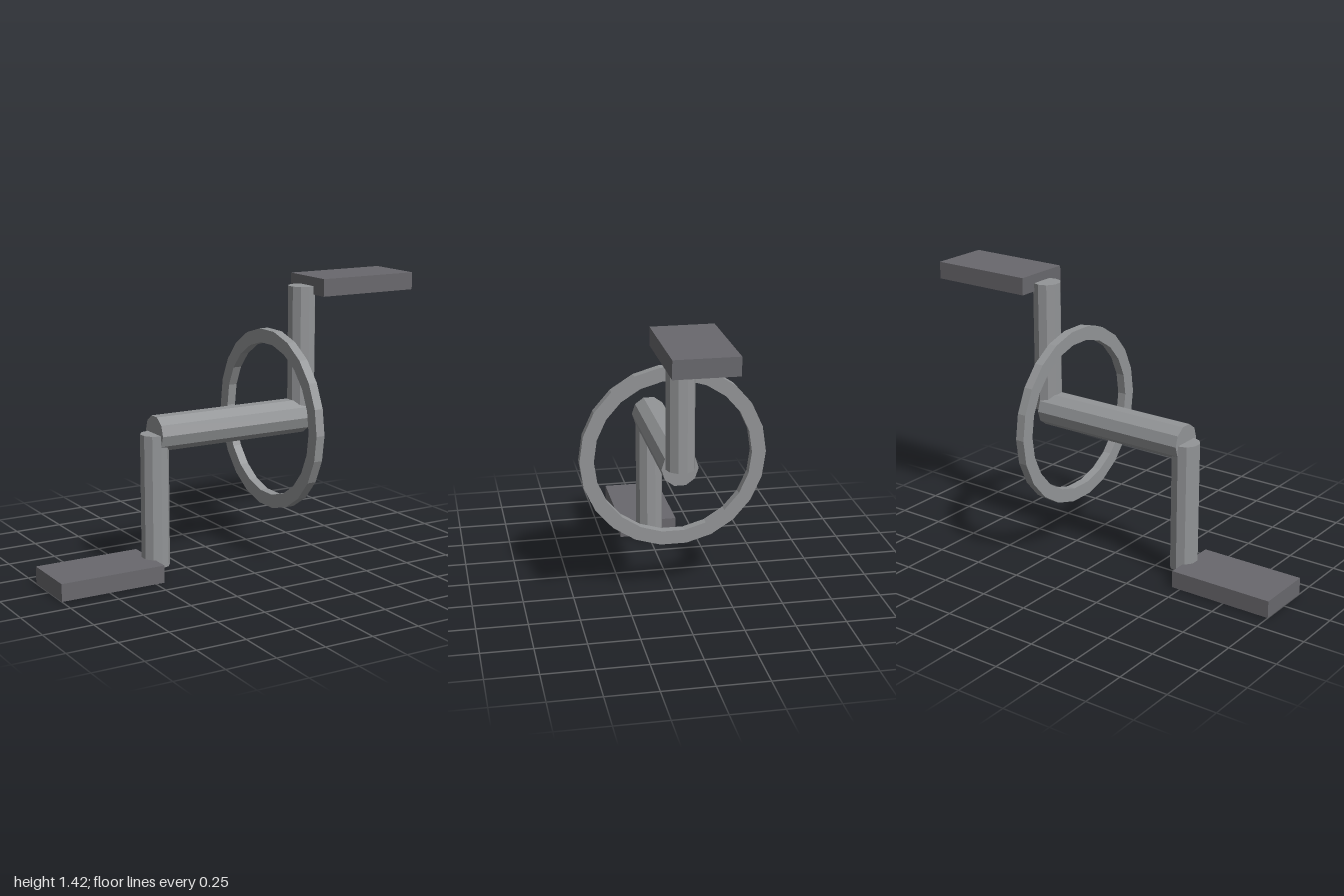
import * as THREE from 'three';

const AXLE_Y = 0.7125; // height of the axle centre
const ARM = 0.667;     // crank arm length
const ARM_X = 0.423;   // crank arm offset from the middle

export function createModel() {
  const model = new THREE.Group();
  model.name = 'pedalCrank';

  const metal = new THREE.MeshStandardMaterial({ color: 0x939597, flatShading: true });
  metal.name = 'grey metal';
  const rubber = new THREE.MeshStandardMaterial({ color: 0x69686d, flatShading: true });
  rubber.name = 'dark grey rubber';

  const add = (name, geometry, material, x, y) => {
    const mesh = new THREE.Mesh(geometry, material);
    mesh.name = name;
    mesh.position.set(x, y, 0);
    model.add(mesh);
    return mesh;
  };

  // Ten-sided axle lying along x
  const axle = add('axle', new THREE.CylinderGeometry(0.09, 0.09, 2 * ARM_X, 10), metal, 0, AXLE_Y);
  axle.rotation.z = Math.PI / 2;

  // Chain ring: a rectangular section turned around the axle
  const section = [[0.39, -0.023], [0.46, -0.023], [0.46, 0.023], [0.39, 0.023], [0.39, -0.023]]
    .map(([r, h]) => new THREE.Vector2(r, h));
  const ring = add('chainRing', new THREE.LatheGeometry(section, 22), metal, 0.24, AXLE_Y);
  ring.rotation.z = Math.PI / 2;

  // Crank arm and pedal on each side, pointing opposite ways
  for (const [side, s] of [['left', 1], ['right', -1]]) {
    add(side + 'CrankArm', new THREE.CylinderGeometry(0.071, 0.071, ARM, 10), metal,
      s * ARM_X, AXLE_Y + s * ARM / 2);
    add(side + 'Pedal', new THREE.BoxGeometry(0.545, 0.088, 0.303), rubber,
      s * 0.7275, AXLE_Y + s * 0.6685);
  }

  return model;
}
